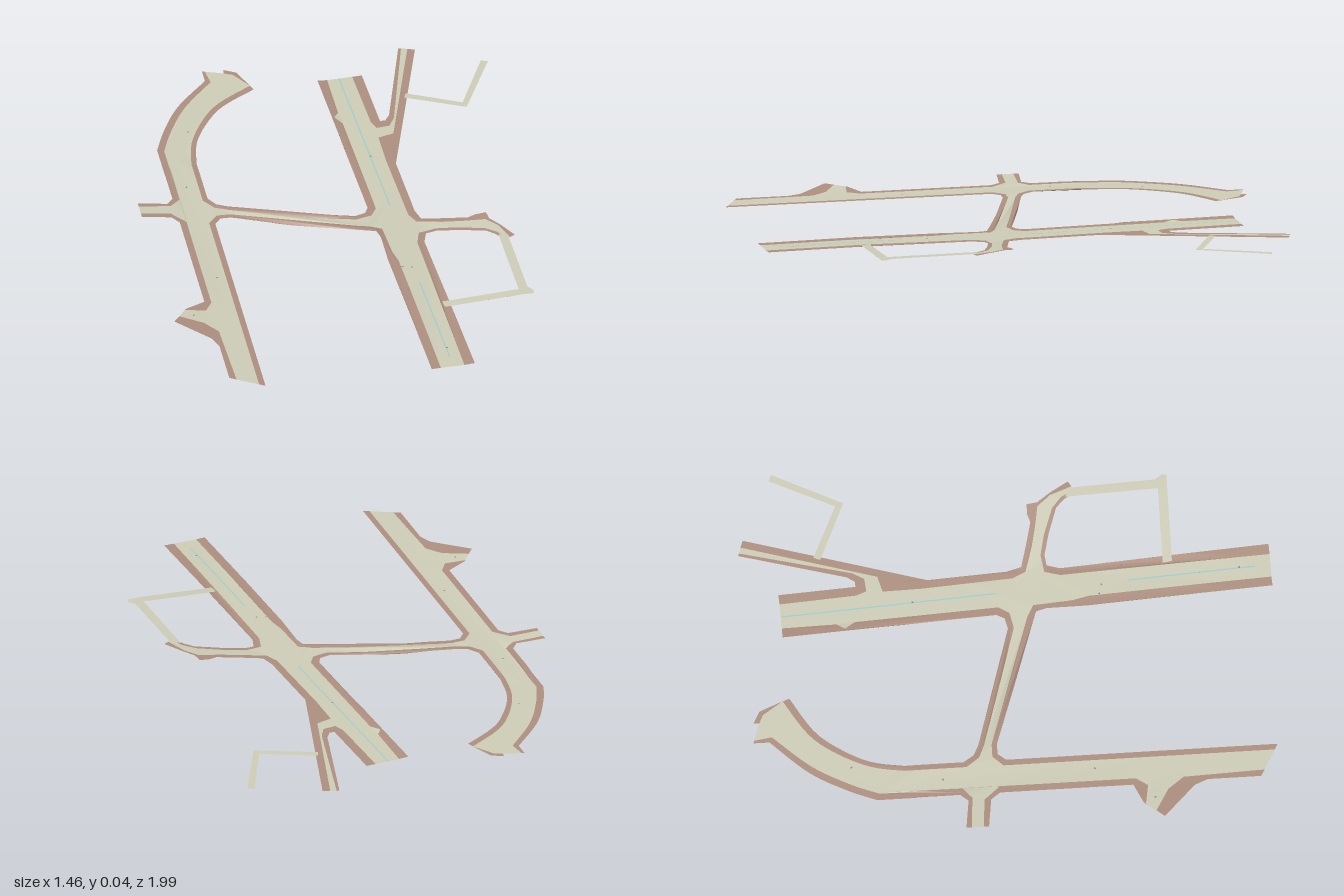
import * as THREE from 'three';

const material = (color) => new THREE.MeshStandardMaterial({ color, side: THREE.DoubleSide });
const lerp = THREE.MathUtils.lerp;
const clamp01 = (t) => Math.min(1, Math.max(0, t));

// Terrain: x positions and heights across the western half and the link
const SLOPE = [[-0.73, 0.024], [-0.6, 0.016], [-0.4, 0.012], [-0.3, 0.008], [-0.2, 0.0], [-0.1, 0.002], [0.1, 0.008]];

function height(x, z) {
  if (x > 0.1) {
    const avenue = 0.008 + 0.01 * clamp01(z / 0.6);
    return z > -0.1 ? lerp(avenue, 0.035, clamp01((x - 0.3) / 0.27)) : 0.008;
  }
  if (z < -0.4) return 0.011;
  for (let i = 1; i < SLOPE.length; i++) {
    const [x0, y0] = SLOPE[i - 1], [x1, y1] = SLOPE[i];
    if (x <= x1) return lerp(y0, y1, clamp01((x - x0) / (x1 - x0)));
  }
  return 0.008;
}

// Smooth curve through the given points
const bend = (...pts) =>
  new THREE.SplineCurve(pts.map((p) => new THREE.Vector2(...p))).getPoints(16).map((p) => [p.x, p.y]);

// Splits long edges so a sheet can follow the terrain
function densify(pts, step = 0.05) {
  const out = [];
  pts.forEach(([x, z], i) => {
    const [x2, z2] = pts[(i + 1) % pts.length];
    const length = Math.hypot(x2 - x, z2 - z);
    if (length < 1e-5) return;
    const n = Math.ceil(length / step);
    for (let k = 0; k < n; k++) out.push(new THREE.Vector2(lerp(x, x2, k / n), lerp(z, z2, k / n)));
  });
  return out;
}

// A thin sheet with the given ground outline, draped on the terrain
function sheet(name, outline, mat, lift = 0) {
  const pts = densify(outline);
  const index = [];
  for (const [a, b, c] of THREE.ShapeUtils.triangulateShape(pts, [])) {
    const up = THREE.ShapeUtils.area([pts[a], pts[b], pts[c]]) < 0;
    index.push(a, ...(up ? [b, c] : [c, b]));
  }
  const geometry = new THREE.BufferGeometry();
  geometry.setAttribute('position',
    new THREE.Float32BufferAttribute(pts.flatMap((p) => [p.x, height(p.x, p.y) + lift, p.y]), 3));
  geometry.setIndex(index);
  geometry.computeVertexNormals();
  const mesh = new THREE.Mesh(geometry, mat);
  mesh.name = name;
  return mesh;
}

// Each pavement runs between an outer edge and an inner kerb
const westBend = {
  outer: [[-0.34, -0.99], ...bend([-0.34, -0.93], [-0.47, -0.79], [-0.55, -0.65], [-0.595, -0.54]),
    [-0.595, -0.23], [-0.62, -0.2], [-0.73, -0.215]],
  inner: [[-0.33, -0.987], ...bend([-0.32, -0.92], [-0.445, -0.78], [-0.525, -0.64], [-0.57, -0.53]),
    [-0.57, -0.22], [-0.61, -0.185], [-0.73, -0.195]],
};
const westMiddle = {
  outer: [[-0.73, -0.13], [-0.62, -0.115], [-0.595, -0.08], [-0.595, 0.42], [-0.67, 0.455]],
  inner: [[-0.73, -0.15], [-0.62, -0.14], [-0.57, -0.08], [-0.57, 0.43], [-0.6, 0.475], [-0.677, 0.462]],
};
const westBay = {
  outer: [[-0.73, 0.53], [-0.61, 0.65], [-0.59, 0.7], [-0.59, 0.9]],
  inner: [[-0.705, 0.5], [-0.62, 0.55], [-0.575, 0.61], [-0.565, 0.915]],
};
const southBlock = {
  outer: [[-0.465, 0.97], [-0.465, -0.05], [-0.44, -0.08], [-0.4, -0.08], [0.08, 0.085], [0.12, 0.1],
    [0.13, 0.14], [0.13, 0.29], [0.165, 0.99]],
  inner: [[-0.487, 0.958], [-0.487, -0.06], [-0.45, -0.1], [-0.4, -0.1], [0.1, 0.065], [0.145, 0.09],
    [0.155, 0.24], [0.168, 0.3], [0.2, 0.988]],
};
const southEast = {
  outer: [[0.33, 0.985], [0.285, 0.2], [0.3, 0.15], [0.34, 0.145], [0.42, 0.165], [0.52, 0.2], [0.55, 0.23], [0.565, 0.255]],
  inner: [[0.29, 0.987], [0.258, 0.2], [0.275, 0.14], [0.34, 0.13], [0.42, 0.148], [0.52, 0.185], [0.56, 0.22], [0.578, 0.258]],
};
const eastCorner = {
  outer: [[0.62, 0.25], [0.58, 0.18], [0.545, 0.13], [0.54, 0.09], [0.5, 0.09], [0.47, 0.1], [0.39, 0.08],
    [0.3, 0.055], [0.285, 0], [0.27, -0.3], [0.47, -0.98]],
  inner: [[0.6, 0.262], [0.57, 0.18], [0.53, 0.13], [0.46, 0.118], [0.38, 0.1], [0.28, 0.07], [0.257, 0.02],
    [0.237, -0.33], [0.235, -0.47], [0.295, -0.485], [0.443, -0.99]],
};
const northWedge = {
  outer: [[0.41, -1], [0.3, -0.6], [0.28, -0.57], [0.26, -0.57], [0.245, -0.86]],
  inner: [[0.42, -0.997], [0.315, -0.58], [0.29, -0.535], [0.24, -0.53], [0.225, -0.57], [0.208, -0.858]],
};
const northBlock = {
  outer: [[0.075, -0.855], [0.115, -0.05], [0.1, -0.02], [0.06, -0.01], [-0.4, -0.15], [-0.44, -0.17],
    [-0.465, -0.21], ...bend([-0.465, -0.43], [-0.44, -0.56], [-0.375, -0.68], [-0.3, -0.765], [-0.17, -0.845])],
  inner: [[0.112, -0.855], [0.115, -0.65], [0.095, -0.62], [0.12, -0.58], [0.145, -0.04], [0.12, 0],
    [0.06, 0.012], [-0.4, -0.128], [-0.45, -0.15],
    [-0.485, -0.2], ...bend([-0.485, -0.43], [-0.46, -0.56], [-0.395, -0.69], [-0.315, -0.785], [-0.18, -0.87])],
};
const northTip = {
  outer: [[-0.175, -0.86], [-0.215, -0.96], [-0.26, -0.985]],
  inner: [[-0.182, -0.875], [-0.23, -0.948], [-0.262, -0.963]],
};

export function createModel() {
  const model = new THREE.Group();
  model.name = 'roadNetwork';
  const asphalt = material(0xd1d0ba);
  const paving = material(0xb09181);
  const paint = material(0x9fd0d0);
  const iron = material(0x8a8f88);

  const borders = { westBend, westMiddle, westBay, southBlock, southEast, eastCorner, northWedge, northBlock, northTip };

  // Carriageway fills the space between all the kerbs
  model.add(sheet('carriageway', Object.values(borders).flatMap((b) => b.inner), asphalt));

  // Pavements
  for (const [name, { outer, inner }] of Object.entries(borders)) {
    model.add(sheet(`${name}Pavement`, [...outer, ...[...inner].reverse()], paving));
  }

  // Narrow lanes
  model.add(sheet('eastLane', [[0.56, 0.235], [0.572, 0.585], [0.28, 0.585], [0.285, 0.62], [0.625, 0.62],
    [0.625, 0.6], [0.607, 0.575], [0.595, 0.262]], asphalt, 0.0008));
  model.add(sheet('northEastLane', [[0.385, -0.72], [0.585, -0.625], [0.7, -0.868], [0.725, -0.858],
    [0.595, -0.595], [0.375, -0.695]], asphalt, 0.0008));

  // Painted centre lines
  const line = (name, [x0, z0], [x1, z1], w = 0.0025) => model.add(sheet(name,
    [[x0 - w, z0], [x0 + w, z0], [x1 + w, z1], [x1 - w, z1]], paint, 0.0008));
  line('northCentreLine', [0.157, -0.855], [0.2, -0.05]);
  line('southCentreLine', [0.22, 0.45], [0.245, 0.93]);

  // Drain covers
  const drain = new THREE.CircleGeometry(0.004, 8).rotateX(-Math.PI / 2);
  for (const [x, z] of [[-0.53, -0.29], [-0.46, -0.63], [0.185, -0.36], [0.175, 0.34], [0.21, 0.35],
    [0.28, 0.43], [0.17, 0.49], [0.245, 0.87], [-0.52, 0.28], [-0.65, 0.5]]) {
    const cover = new THREE.Mesh(drain, iron);
    cover.name = 'drainCover';
    cover.position.set(x, height(x, z) + 0.0012, z);
    model.add(cover);
  }
  return model;
}
